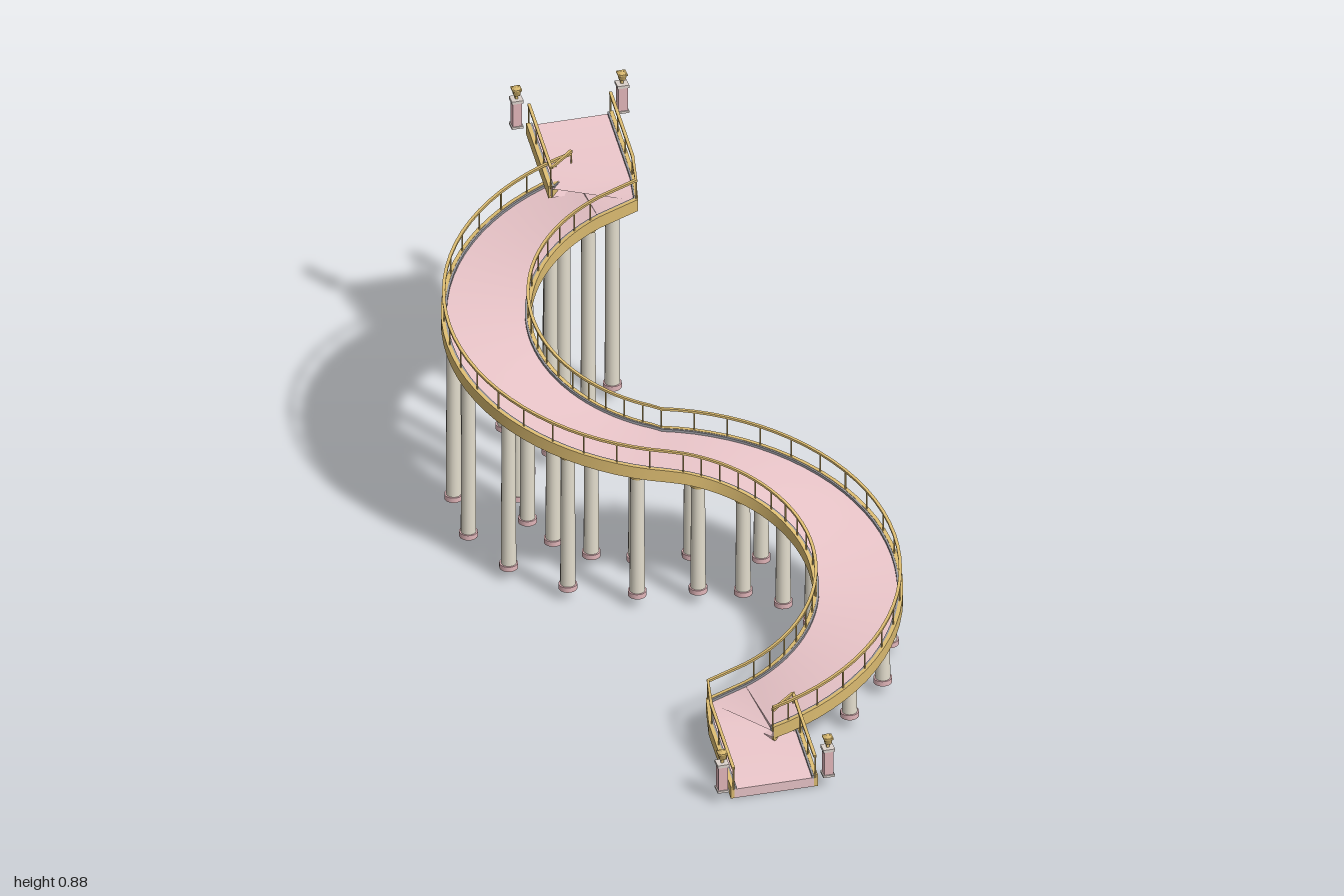
import * as THREE from 'three';
import { toCreasedNormals } from 'three/addons/utils/BufferGeometryUtils.js';

const R = 0.367, CZ = 0.37, STRAIGHT = 0.24, HALF = STRAIGHT + Math.PI * R, END = 0.979;
const Y0 = 0.026, Y1 = 0.766, ARC0 = 0.07;
const mat = (name, color, side = THREE.FrontSide) => {
  const m = new THREE.MeshStandardMaterial({ color, side });
  m.name = name;
  return m;
};

// Cross-section frame: centre x, z, unit vector across (ux, uz) and deck height y
const height = s => Y0 + (Y1 - Y0) * s / (2 * HALF);
function arcFrame(t) {
  return { x: R * Math.sin(t), z: CZ + R * Math.cos(t), ux: Math.sin(t), uz: Math.cos(t), y: height(STRAIGHT + R * t) };
}
// The upper half is the lower half turned by 180 degrees
const opposite = f => ({ x: -f.x, z: -f.z, ux: f.ux, uz: f.uz, y: Y0 + Y1 - f.y });
function frameAt(s) {
  if (s > HALF) return opposite(frameAt(2 * HALF - s));
  if (s < STRAIGHT) return { x: 0, z: END - s, ux: 1, uz: 0, y: height(s) };
  return arcFrame((s - STRAIGHT) / R);
}

// Frames along the whole S-shaped path, with the abrupt turn at each landing
function pathFrames() {
  const half = [
    { x: 0, z: END, ux: 1, uz: 0, y: height(0) },
    { x: 0, z: 0.767, ux: 1, uz: 0, y: height(0.21) },
    { x: -0.027, z: 0.755, ux: 0.576, uz: 0.817, y: height(0.235) },
  ];
  for (let i = 0; i <= 35; i++) half.push(arcFrame(ARC0 + (Math.PI - ARC0) * i / 35));
  return [...half, ...half.slice(0, -1).reverse().map(opposite)];
}

// Sweeps a rectangle (across u0..u1, height v0..v1) along the frames
function sweep(frames, u0, u1, v0, v1) {
  const prof = [[u0, v0], [u1, v0], [u1, v1], [u0, v1]];
  const pos = [], idx = [];
  for (const f of frames) for (const [u, v] of prof) pos.push(f.x + f.ux * u, f.y + v, f.z + f.uz * u);
  const n = (frames.length - 1) * 4;
  for (let k = 0; k < n; k += 4) {
    for (let j = 0; j < 4; j++) {
      const a = k + j, b = k + (j + 1) % 4;
      idx.push(a, a + 4, b + 4, a, b + 4, b);
    }
  }
  idx.push(0, 1, 2, 0, 2, 3, n, n + 2, n + 1, n, n + 3, n + 2);
  const g = new THREE.BufferGeometry();
  g.setAttribute('position', new THREE.Float32BufferAttribute(pos, 3));
  g.setIndex(idx);
  return toCreasedNormals(g, 0.4);
}

export function createModel() {
  const root = new THREE.Group();
  root.name = 'curvedRampBridge';
  const pink = mat('pinkDeck', 0xe6c2c6, THREE.DoubleSide);
  const gold = mat('goldTrim', 0xdaba70, THREE.DoubleSide);
  const grey = mat('greyCurb', 0x94949a, THREE.DoubleSide);
  const stone = mat('paleStone', 0xe4dece);
  const rose = mat('roseStone', 0xe2b6ba);
  const capStone = mat('capStone', 0xdcd2cc);

  const add = (parent, name, geo, material, x = 0, y = 0, z = 0) => {
    const m = new THREE.Mesh(geo, material);
    m.name = name;
    m.position.set(x, y, z);
    parent.add(m);
    return m;
  };
  const group = name => {
    const g = new THREE.Group();
    g.name = name;
    root.add(g);
    return g;
  };

  // Deck, side beams, curbs and handrails
  const frames = pathFrames();
  add(root, 'deck', sweep(frames, -0.103, 0.103, -0.026, 0), pink);
  for (const s of [-1, 1]) {
    const side = s > 0 ? 'right' : 'left';
    const strip = (name, a, b, v0, v1, m) =>
      add(root, side + name, sweep(frames, Math.min(s * a, s * b), Math.max(s * a, s * b), v0, v1), m);
    strip('Beam', 0.102, 0.112, -0.026, 0.008, gold);
    strip('Curb', 0.097, 0.102, -0.002, 0.007, grey);
    strip('Handrail', 0.101, 0.109, 0.059, 0.065, gold);
  }

  // Railing posts
  const posts = group('railingPosts');
  const postGeo = new THREE.CylinderGeometry(0.002, 0.002, 0.062, 6);
  const postFrames = frames.filter((f, i) => i % 2 === 0);
  for (const s of [0.07, 0.14, 0.21]) postFrames.push(frameAt(s), frameAt(2 * HALF - s));
  for (const f of postFrames) {
    for (const u of [-0.105, 0.105]) add(posts, 'railingPost', postGeo, gold, f.x + f.ux * u, f.y + 0.031, f.z + f.uz * u);
  }

  // Paired columns with rose bases and gold capitals; the last pair carries the upper landing
  const columns = group('columns');
  const baseGeo = new THREE.CylinderGeometry(0.0235, 0.0235, 0.014, 16);
  const capGeo = new THREE.CylinderGeometry(0.0225, 0.0205, 0.014, 16);
  const stations = Array.from({ length: 16 }, (_, i) => 0.323 + 0.1448 * i);
  for (const s of [...stations, 2.675]) {
    const f = frameAt(s);
    for (const u of [-0.08, 0.08]) {
      const x = f.x + f.ux * u, z = f.z + f.uz * u, top = f.y - 0.024;
      add(columns, 'columnBase', baseGeo, rose, x, 0.037, z);
      add(columns, 'columnShaft', new THREE.CylinderGeometry(0.0175, 0.0195, top - 0.04, 16), stone, x, (top + 0.04) / 2, z);
      add(columns, 'columnCapital', capGeo, gold, x, top - 0.007, z);
    }
  }

  // Lamp pillars beside both ends
  const box = (w, h) => new THREE.BoxGeometry(w, h, w);
  const taper = (top, bottom, h) =>
    new THREE.CylinderGeometry(top * Math.SQRT1_2, bottom * Math.SQRT1_2, h, 4).rotateY(Math.PI / 4).toNonIndexed();
  for (const [z, y] of [[0.985, 0.034], [-0.985, Y1]]) {
    for (const x of [-0.136, 0.136]) {
      const g = group('lampPillar');
      g.position.set(x, y, z);
      add(g, 'pillarFoot', box(0.03, 0.006), capStone, 0, 0.003, 0);
      add(g, 'pillarShaft', box(0.024, 0.07), rose, 0, 0.039, 0);
      add(g, 'pillarCap', box(0.03, 0.008), capStone, 0, 0.078, 0);
      add(g, 'lampStem', box(0.007, 0.012), gold, 0, 0.088, 0);
      add(g, 'lampBody', taper(0.02, 0.014, 0.016), gold, 0, 0.1, 0);
      add(g, 'lampRim', box(0.024, 0.004), gold, 0, 0.11, 0);
      add(g, 'lampTop', taper(0.008, 0.018, 0.006), gold, 0, 0.115, 0);
    }
  }
  return root;
}
